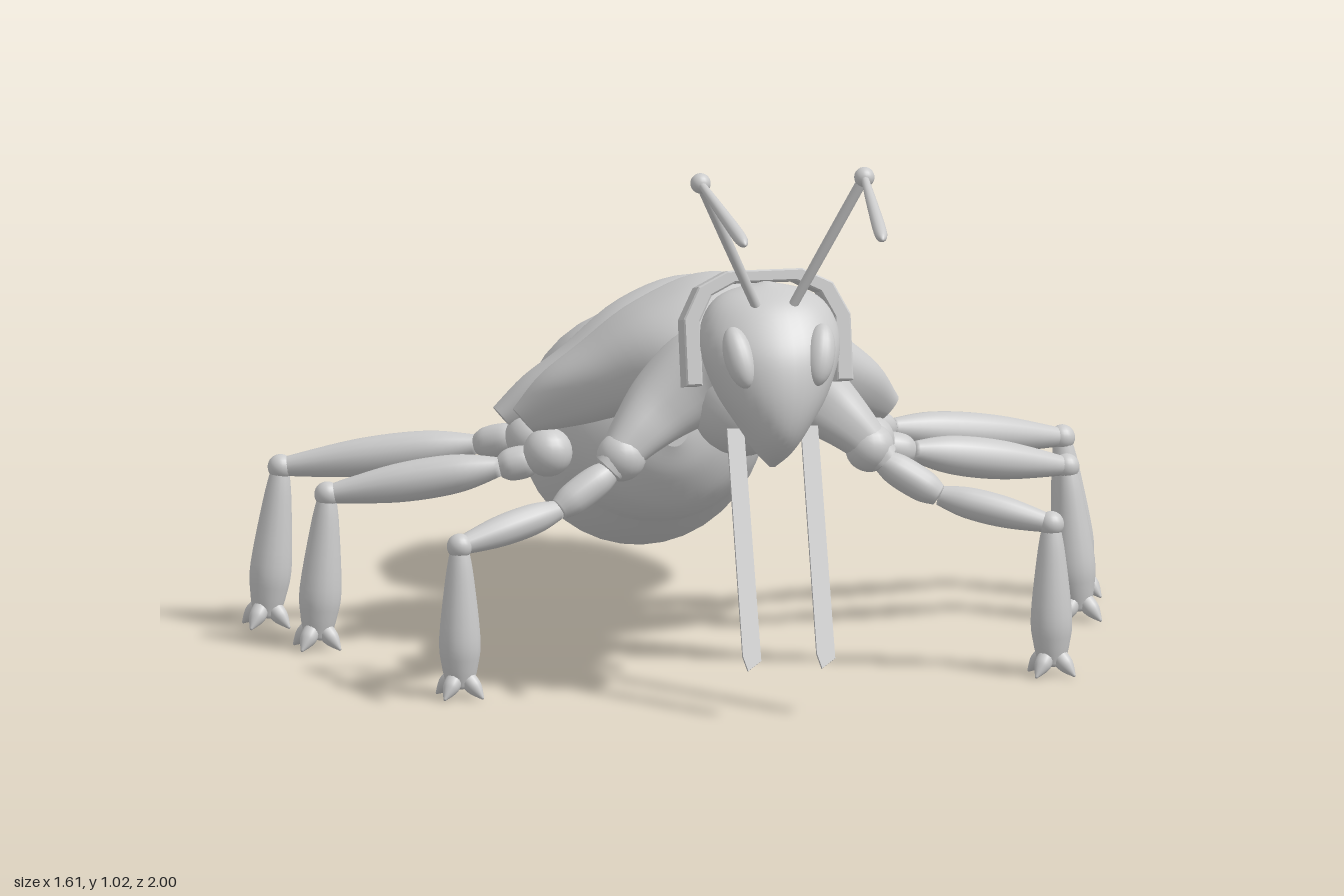
import * as THREE from 'three';

const material = new THREE.MeshStandardMaterial({ color: 0xcccccc });
const V = (x, y, z) => new THREE.Vector3(x, y, z);

function add(parent, name, geometry) {
  const mesh = new THREE.Mesh(geometry, material);
  mesh.name = name;
  parent.add(mesh);
  return mesh;
}

// Smooth closed skin through rings [x, y, z, halfU, halfV, tilt] running along one axis.
const frames = {
  x: t => [V(0, 0, 1), V(Math.sin(t), Math.cos(t), 0)],
  y: t => [V(1, 0, 0), V(0, Math.sin(t), Math.cos(t))],
  z: t => [V(1, 0, 0), V(0, Math.cos(t), Math.sin(t))],
};
function loft(axis, rings, power = 1, sides = 36) {
  const places = new THREE.CatmullRomCurve3(rings.map(r => V(r[0], r[1], r[2])), false, 'catmullrom');
  const sizes = new THREE.CatmullRomCurve3(rings.map(r => V(r[3], r[4], r[5] || 0)), false, 'catmullrom');
  const steps = (rings.length - 1) * 5, rows = [];
  const row = (t, scale) => {
    const c = places.getPoint(t), s = sizes.getPoint(t), [u, v] = frames[axis](s.z);
    return Array.from({ length: sides }, (_, j) => {
      const a = j / sides * Math.PI * 2, bend = n => Math.sign(n) * Math.abs(n) ** power;
      return c.clone().addScaledVector(u, bend(Math.cos(a)) * Math.max(s.x, 0) * scale)
        .addScaledVector(v, bend(Math.sin(a)) * Math.max(s.y, 0) * scale);
    });
  };
  rows.push(row(0, 0), row(0, 1));
  for (let i = 0; i <= steps; i++) rows.push(row(i / steps, 1));
  rows.push(row(1, 1), row(1, 0));
  const [u, v] = frames[axis](0);
  const forward = u.cross(v).dot(places.getPoint(1).sub(places.getPoint(0))) > 0;
  const index = [];
  for (let i = 0; i < rows.length - 1; i++) for (let j = 0; j < sides; j++) {
    const a = i * sides + j, b = i * sides + (j + 1) % sides, c = a + sides, d = b + sides;
    index.push(...(forward ? [a, b, c, b, d, c] : [a, c, b, b, c, d]));
  }
  const g = new THREE.BufferGeometry().setFromPoints(rows.flat());
  g.setIndex(index);
  g.computeVertexNormals();
  return g;
}

// Saddle-shaped body plate: half its rings are given, the other half mirrored.
function saddle(half) {
  const other = half.slice(1).reverse().map(([x, y, z, a, b, t]) => [-x, y, z, a, b, -t]);
  return loft('x', [...other, ...half], 0.8);
}

// Turned limb from a to b, with profile points [fraction of length, radius].
function limb(parent, name, a, b, profile) {
  const length = a.distanceTo(b);
  const curve = new THREE.SplineCurve(profile.map(([t, r]) => new THREE.Vector2(r, t * length)));
  const points = curve.getPoints(18).map(p => p.set(Math.max(p.x, 0), p.y));
  points.unshift(new THREE.Vector2(0, points[0].y));
  points.push(new THREE.Vector2(0, points.at(-1).y));
  const mesh = add(parent, name, new THREE.LatheGeometry(points, 16));
  mesh.position.copy(a);
  mesh.quaternion.setFromUnitVectors(V(0, 1, 0), b.clone().sub(a).normalize());
  return mesh;
}

function ball(parent, name, p, r, scale = [1, 1, 1]) {
  const mesh = add(parent, name, new THREE.SphereGeometry(r, 20, 14));
  mesh.position.copy(p);
  mesh.scale.set(...scale);
  return mesh;
}

function buildLeg(name, { hip, root, joint, knee, foot, girth }) {
  const leg = new THREE.Group();
  leg.name = name;
  ball(leg, 'hip', hip, 0.046);
  limb(leg, 'upperJoint', root, joint, [[0, 0.018], [0.3, 0.03], [0.75, 0.03], [1, 0.02]]);
  limb(leg, 'thigh', joint, knee, [[0, 0.018], [0.25, girth], [0.6, girth], [1, 0.017]]);
  ball(leg, 'knee', knee, 0.024);
  limb(leg, 'shin', knee, foot, [[0, 0.016], [0.2, 0.026], [0.65, 0.039], [0.85, 0.034], [1, 0.024]]);
  // splayed claws
  for (let i = 0; i < 4; i++) {
    const a = Math.PI / 4 + i * Math.PI / 2, c = Math.cos(a), s = Math.sin(a);
    limb(leg, 'claw', V(foot.x + c * 0.012, 0.042, foot.z + s * 0.012),
      V(foot.x + c * 0.052, 0.003, foot.z + s * 0.052), [[0, 0.016], [0.5, 0.015], [1, 0.002]]);
  }
  return leg;
}

export function createModel() {
  const model = new THREE.Group();
  model.name = 'ant';

  // Abdomen: four overlapping plates, drooping toward the tip
  [
    [[0, 0.355, -0.285, 0.03, 0.04, -0.1], [0, 0.357, -0.31, 0.1, 0.1, -0.12], [0, 0.355, -0.36, 0.165, 0.158, -0.15],
      [0, 0.35, -0.41, 0.195, 0.187, -0.18], [0, 0.346, -0.45, 0.212, 0.2, -0.19]],
    [[0, 0.346, -0.44, 0.205, 0.194, -0.19], [0, 0.32, -0.53, 0.22, 0.215, -0.22], [0, 0.29, -0.62, 0.22, 0.218, -0.25],
      [0, 0.26, -0.71, 0.203, 0.2, -0.3], [0, 0.235, -0.8, 0.175, 0.172, -0.33]],
    [[0, 0.24, -0.78, 0.163, 0.16, -0.35], [0, 0.2, -0.85, 0.147, 0.145, -0.4], [0, 0.157, -0.9, 0.115, 0.113, -0.5],
      [0, 0.125, -0.93, 0.08, 0.077, -0.55]],
    [[0, 0.13, -0.925, 0.07, 0.068, -0.55], [0, 0.085, -0.96, 0.055, 0.05, -0.8], [0, 0.03, -0.968, 0.006, 0.006, -0.8]],
  ].forEach((rings, i) => add(model, 'abdomenPlate' + (i + 1), loft('z', rings)));

  // Waist joining abdomen and thorax
  add(model, 'waist', loft('z', [[0, 0.5, -0.15, 0.135, 0.11, 0], [0, 0.49, -0.2, 0.11, 0.09, 0],
    [0, 0.455, -0.25, 0.055, 0.06, 0], [0, 0.39, -0.32, 0.02, 0.03, 0]]));

  // Thorax plates with flanks reaching down to the legs
  add(model, 'rearThorax', saddle([[0, 0.55, -0.115, 0.08, 0.12, 0], [0.1, 0.53, -0.115, 0.075, 0.105, 0.35],
    [0.2, 0.485, -0.125, 0.062, 0.07, 0.6], [0.28, 0.445, -0.145, 0.052, 0.05, 0.7], [0.35, 0.405, -0.16, 0.035, 0.025, 0.7]]));
  add(model, 'middleThorax', saddle([[0, 0.58, 0.115, 0.145, 0.135, 0], [0.11, 0.56, 0.112, 0.14, 0.11, 0.3],
    [0.2, 0.52, 0.08, 0.11, 0.078, 0.6], [0.28, 0.475, 0.045, 0.075, 0.058, 0.7], [0.345, 0.43, 0.005, 0.035, 0.028, 0.7]]));
  add(model, 'frontThorax', saddle([[0, 0.575, 0.355, 0.11, 0.095, 0], [0.07, 0.565, 0.325, 0.082, 0.088, 0.4],
    [0.14, 0.515, 0.32, 0.075, 0.07, 0.7], [0.2, 0.465, 0.345, 0.058, 0.05, 0.8], [0.26, 0.405, 0.375, 0.035, 0.03, 0.8]]));
  ball(model, 'chest', V(0, 0.52, 0.35), 0.1, [1, 1.05, 0.95]);
  add(model, 'neck', loft('z', [[0, 0.625, 0.36, 0.08, 0.05, 0], [0, 0.63, 0.45, 0.045, 0.04, 0], [0, 0.63, 0.53, 0.035, 0.035, 0]]));

  // Head: wide brow tapering to a pointed chin
  const head = new THREE.Group();
  head.name = 'head';
  model.add(head);
  add(head, 'skull', loft('y', [[0, 0.443, 0.615, 0.006, 0.01, 0], [0, 0.475, 0.62, 0.035, 0.065, 0],
    [0, 0.52, 0.622, 0.065, 0.1, 0], [0, 0.585, 0.61, 0.105, 0.122, 0], [0, 0.66, 0.597, 0.13, 0.12, 0],
    [0, 0.72, 0.58, 0.122, 0.1, 0], [0, 0.76, 0.57, 0.085, 0.067, 0], [0, 0.782, 0.565, 0.008, 0.008, 0]]));
  const arch = s => [[0.155, -0.1], [0.155, 0.02], [0.125, 0.078], [0.07, 0.105]].map(([x, y]) => [x * s, y * s]);
  const outline = k => [...arch(k), ...arch(k).reverse().map(([x, y]) => [-x, y])];
  const crestShape = new THREE.Shape([...outline(1), ...outline(0.84).map(([x, y]) => [x, Math.max(y, -0.1)]).reverse()]
    .map(([x, y]) => new THREE.Vector2(x, y < -0.08 ? -0.1 : y)));
  const crest = add(head, 'crest', new THREE.ExtrudeGeometry(crestShape,
    { depth: 0.055, bevelEnabled: true, bevelSize: 0.003, bevelThickness: 0.003, bevelSegments: 1 }));
  crest.position.set(0, 0.685, 0.52);
  crest.rotation.x = -0.22;

  // Mandible blade outline, tapering to a slanted end
  const blade = new THREE.Shape([[-0.016, 0], [0.016, 0], [0.016, -0.44], [-0.01, -0.458], [-0.018, -0.43]]
    .map(([x, y]) => new THREE.Vector2(x, y)));

  for (const side of [1, -1]) {
    const word = side > 0 ? 'left' : 'right';
    const P = (x, y, z) => V(x * side, y, z);

    const eye = ball(head, word + 'Eye', P(0.076, 0.663, 0.683), 0.03, [0.95, 2, 1]);
    eye.rotation.set(-0.35, 0.3 * side, -0.2 * side);

    const mandible = add(head, word + 'Mandible', new THREE.ExtrudeGeometry(blade, { depth: 0.008, bevelEnabled: false }));
    mandible.position.copy(P(0.07, 0.515, 0.612));
    mandible.scale.x = 1;
    mandible.rotation.x = -0.37;

    // Elbowed antenna
    const elbow = P(0.155, 1.0, 0.71);
    limb(head, word + 'AntennaStalk', P(0.03, 0.74, 0.635), elbow, [[0, 0.009], [0.5, 0.01], [1, 0.01]]);
    ball(head, word + 'AntennaElbow', elbow, 0.019);
    limb(head, word + 'AntennaTip', elbow, P(0.13, 0.935, 1.0), [[0, 0.007], [0.5, 0.011], [0.9, 0.012], [1, 0.002]]);

    // Legs
    model.add(buildLeg(word + 'FrontLeg', { hip: P(0.235, 0.425, 0.37), root: P(0.25, 0.405, 0.375),
      joint: P(0.36, 0.335, 0.4), knee: P(0.56, 0.285, 0.462), foot: P(0.56, 0.02, 0.465), girth: 0.029 }));
    model.add(buildLeg(word + 'MiddleLeg', { hip: P(0.305, 0.375, 0.035), root: P(0.32, 0.36, 0.02),
      joint: P(0.39, 0.345, 0.005), knee: P(0.7, 0.29, -0.075), foot: P(0.72, 0.02, -0.07), girth: 0.036 }));
    model.add(buildLeg(word + 'RearLeg', { hip: P(0.305, 0.375, -0.13), root: P(0.32, 0.37, -0.15),
      joint: P(0.39, 0.35, -0.2), knee: P(0.74, 0.3, -0.31), foot: P(0.768, 0.02, -0.305), girth: 0.036 }));
  }
  return model;
}
